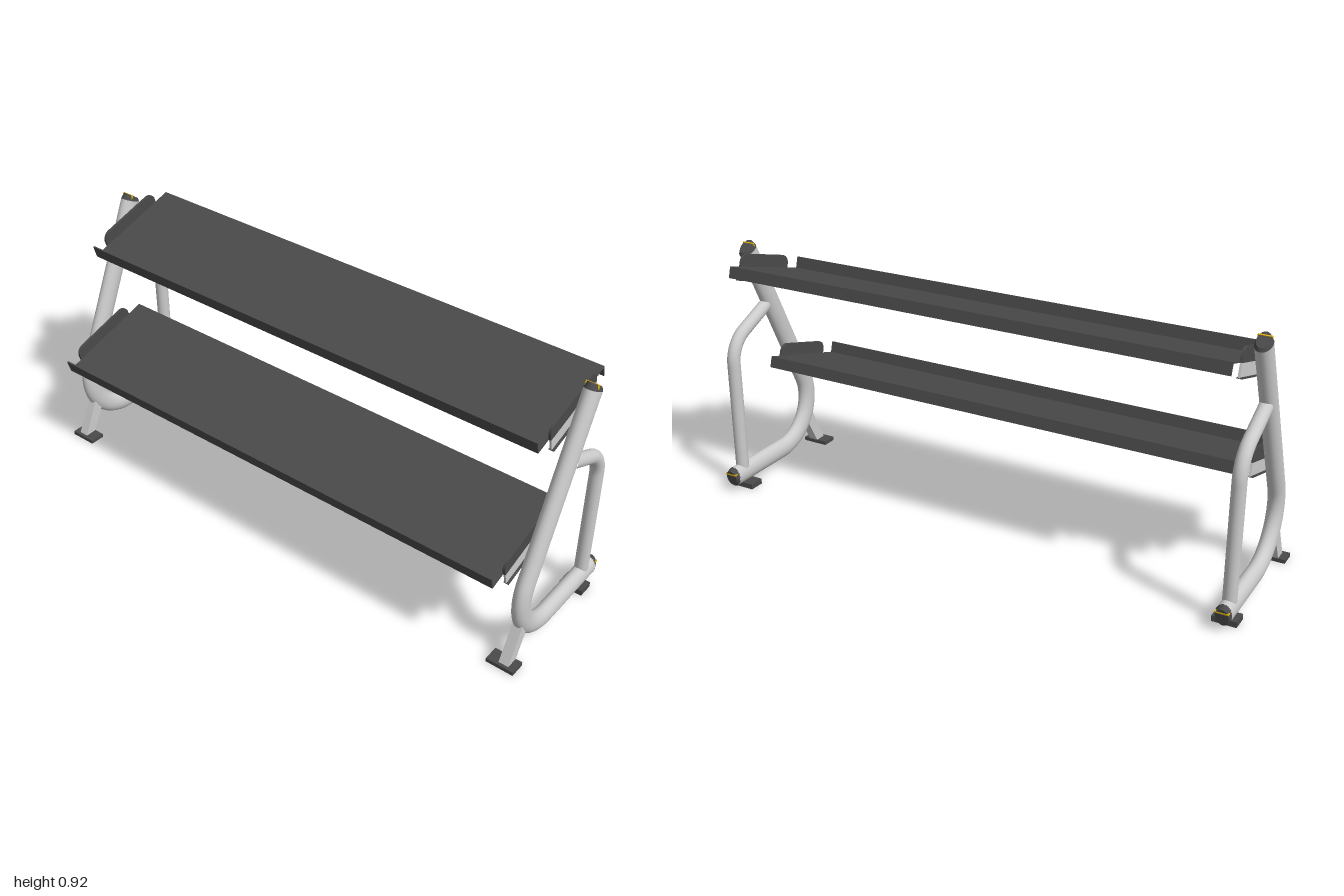
import * as THREE from 'three';

const grey = new THREE.MeshStandardMaterial({ color: 0xcccccc });
const dark = new THREE.MeshStandardMaterial({ color: 0x4a4a4a });
const yellow = new THREE.MeshStandardMaterial({ color: 0xe0b010 });

const LEAN = 0.432;   // backward lean of the uprights
const TILT = 0.282;   // slope of the shelves
const FRAME_X = 0.958;

function add(parent, name, geometry, material, x = 0, y = 0, z = 0) {
  const mesh = new THREE.Mesh(geometry, material);
  mesh.name = name;
  mesh.position.set(x, y, z);
  parent.add(mesh);
  return mesh;
}

// Tube along a 2D path drawn in the (z, y) plane; squash flattens it in x
function sideTube(path, radius, squash) {
  const points = path.getSpacedPoints(60).map(p => new THREE.Vector3(0, p.y, p.x));
  const geometry = new THREE.TubeGeometry(new THREE.CatmullRomCurve3(points), 80, radius, 24);
  return geometry.scale(squash, 1, 1);
}

// Extrudes a (z, y) shape along x, centred on x = 0
function sideExtrude(shape, width) {
  const geometry = new THREE.ExtrudeGeometry(shape, { depth: width, bevelEnabled: false, curveSegments: 8 });
  return geometry.translate(0, 0, -width / 2).rotateY(-Math.PI / 2);
}

// Oval end plug with a sloping face and a thin coloured strip
function endCap(parent, y, z, rotation) {
  const cap = new THREE.Group();
  cap.name = 'endCap';
  const geometry = new THREE.CylinderGeometry(0.03, 0.038, 0.016, 24);
  const pos = geometry.attributes.position;
  for (let i = 0; i < pos.count; i++) {
    if (pos.getY(i) > 0) pos.setY(i, pos.getY(i) + pos.getZ(i) * 0.2);
  }
  geometry.translate(0, 0.008, 0).scale(0.74, 1, 1);
  geometry.computeVertexNormals();
  add(cap, 'plug', geometry, dark);
  add(cap, 'capStrip', new THREE.BoxGeometry(0.046, 0.018, 0.005), yellow, 0, 0.0115, 0.016);
  cap.position.set(0, y, z);
  cap.rotation.x = rotation;
  parent.add(cap);
}

function sideFrame() {
  const frame = new THREE.Group();
  frame.name = 'sideFrame';

  // Leaning upright that bends into the floor rail
  const main = new THREE.Path();
  main.moveTo(-0.116, 0.887);
  main.lineTo(0.152, 0.305);
  main.absarc(-0.007, 0.232, 0.175, LEAN, -Math.PI / 2, true);
  main.lineTo(-0.292, 0.057);
  add(frame, 'mainTube', sideTube(main, 0.0375, 0.74), grey);
  endCap(frame, 0.887, -0.116, -LEAN);
  endCap(frame, 0.057, -0.29, -Math.PI / 2);

  // Bent rear brace
  const brace = new THREE.Path();
  brace.moveTo(-0.24, 0.07);
  brace.lineTo(-0.24, 0.49);
  brace.absarc(-0.12, 0.49, 0.12, Math.PI, Math.PI / 2 + LEAN, true);
  brace.lineTo(-0.04, 0.659);
  add(frame, 'rearBrace', sideTube(brace, 0.0245, 0.95), grey);

  // Front leg and floor pads
  const leg = new THREE.Shape([[0.24, 0.012], [0.195, 0.012], [0.13, 0.14], [0.168, 0.16]]
    .map(p => new THREE.Vector2(...p)));
  add(frame, 'frontLeg', sideExtrude(leg, 0.036), grey);
  add(frame, 'frontFoot', new THREE.BoxGeometry(0.1, 0.014, 0.057), dark, 0, 0.007, 0.222);
  add(frame, 'rearFoot', new THREE.BoxGeometry(0.084, 0.02, 0.057), dark, 0, 0.01, -0.227);
  return frame;
}

function shelf(y, z) {
  const group = new THREE.Group();
  group.name = 'shelf';

  // Folded sheet: lip up at the front, lip down at the back
  const h = 0.192, t = 0.005;
  const tray = new THREE.Shape([
    [h, -t], [h, 0.042], [h - t, 0.042], [h - t, 0],
    [-h, 0], [-h, -0.041], [-h + t, -0.041], [-h + t, -t],
  ].map(p => new THREE.Vector2(...p)));
  add(group, 'tray', sideExtrude(tray, 1.836), dark);

  // Rounded end stops above the sheet
  const w = 0.133, top = 0.045, r = 0.032;
  const stop = new THREE.Shape();
  stop.moveTo(-w, -0.004);
  stop.lineTo(w, -0.004);
  stop.lineTo(w, top - r);
  stop.absarc(w - r, top - r, r, 0, Math.PI / 2, false);
  stop.absarc(-w + r, top - r, r, Math.PI / 2, Math.PI, false);
  const stopGeometry = sideExtrude(stop, 0.009);

  // Mounting plates with a thin bottom flange reaching the upright
  for (const s of [-1, 1]) {
    add(group, 'endStop', stopGeometry, dark, s * 0.922, 0, 0);
    add(group, 'mountPlate', new THREE.BoxGeometry(0.007, 0.046, 2 * w), grey, s * 0.923, -0.026, 0);
    add(group, 'mountFlange', new THREE.BoxGeometry(0.018, 0.004, 2 * w), dark, s * 0.925, -0.049, 0);
  }
  group.position.set(0, y, z);
  group.rotation.x = TILT;
  return group;
}

export function createModel() {
  const model = new THREE.Group();
  model.name = 'twoTierRack';
  for (const s of [-1, 1]) {
    const frame = sideFrame();
    frame.position.x = s * FRAME_X;
    // keep the outer pad edges at the full width
    frame.traverse(o => { if (o.name === 'frontFoot' || o.name === 'rearFoot') o.position.x = -s * 0.008; });
    model.add(frame);
  }
  model.add(shelf(0.8185, -0.0775));
  model.add(shelf(0.4185, 0.1085));
  return model;
}
